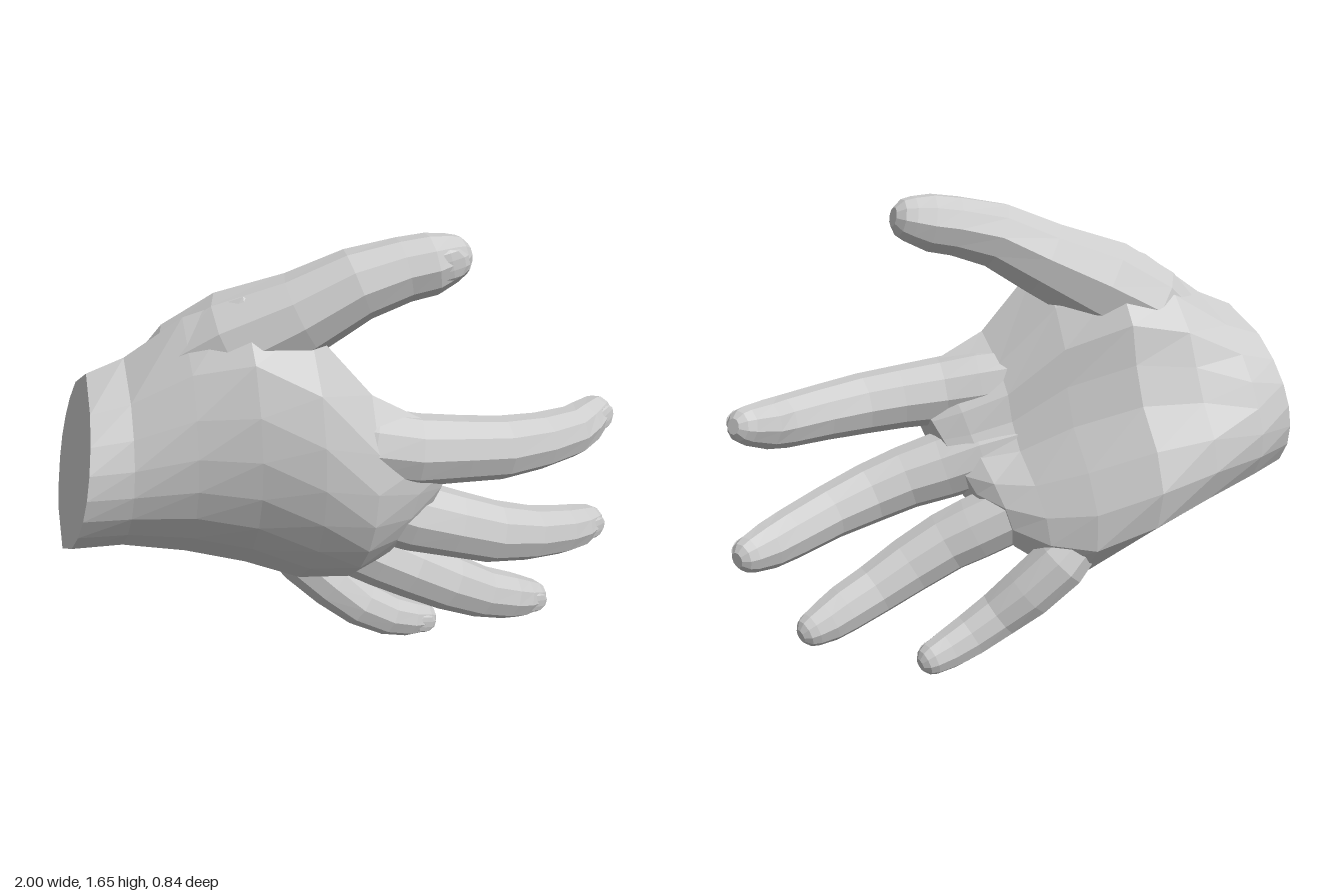
import * as THREE from 'three';

const V = (x, y, z) => new THREE.Vector3(x, y, z);
const skin = new THREE.MeshStandardMaterial({ color: 0xcccccc, flatShading: true });

// Skin a list of equal-length rings and close both ends with a fan.
function loft(name, rings) {
  const n = rings[0].length, pos = [], index = [];
  rings.forEach(r => r.forEach(p => pos.push(p.x, p.y, p.z)));
  for (let i = 0; i < rings.length - 1; i++) {
    for (let j = 0; j < n; j++) {
      const a = i * n + j, b = i * n + (j + 1) % n;
      index.push(a, b, a + n, b, b + n, a + n);
    }
  }
  [0, rings.length - 1].forEach((r, end) => {
    const c = rings[r].reduce((s, p) => s.add(p), V(0, 0, 0)).divideScalar(n);
    const ci = pos.length / 3;
    pos.push(c.x, c.y, c.z);
    for (let j = 0; j < n; j++) {
      const a = r * n + j, b = r * n + (j + 1) % n;
      if (end) index.push(a, b, ci); else index.push(b, a, ci);
    }
  });
  const g = new THREE.BufferGeometry();
  g.setAttribute('position', new THREE.Float32BufferAttribute(pos, 3));
  g.setIndex(index);
  g.computeVertexNormals();
  const mesh = new THREE.Mesh(g, skin);
  mesh.name = name;
  return mesh;
}

// Palm section: thumb-side edge, little-finger edge, then bulges of the
// back, the thumb half and the outer half of the palm, and the hollow.
function palmRing([tx, ty, tz, bx, by, bz, back, inner, outer, hollow]) {
  const T = V(tx, ty, tz), B = V(bx, by, bz), half = 8, ring = [];
  const backward = V(0, bz - tz, ty - by).normalize(), palmward = V(0, 0, -1);
  for (let i = 0; i < half * 2; i++) {
    const t = i < half ? i / half : 2 - i / half;
    const s = Math.max(0, Math.sin(Math.PI * t));
    const p = T.clone().lerp(B, t);
    const dip = s * hollow * Math.exp(-Math.pow((t - 0.45) / 0.2, 2));
    if (i < half) p.addScaledVector(backward, back * Math.pow(s, 0.65));
    else p.addScaledVector(palmward, Math.pow(s, 0.55) * (inner * (1 - t) + outer * t) - dip);
    ring.push(p);
  }
  return ring;
}

// Finger: rings along a path of [x, y, z, radius], with a rounded tip.
function finger(name, path, sides = 10) {
  const group = new THREE.Group();
  group.name = name;
  const pts = path.map(p => V(p[0], p[1], p[2]));
  const last = pts.length - 1;
  const frame = i => {
    const t = pts[Math.min(i + 1, last)].clone().sub(pts[Math.max(i - 1, 0)]).normalize();
    const u = V(0, 0, 1).cross(t).normalize();
    return { t, u, v: t.clone().cross(u) };
  };
  const ring = (c, f, r) => Array.from({ length: sides }, (_, j) => {
    const a = (j + 0.5) / sides * Math.PI * 2;
    return c.clone().addScaledVector(f.u, Math.cos(a) * r).addScaledVector(f.v, Math.sin(a) * r);
  });
  const rings = pts.map((p, i) => ring(p, frame(i), path[i][3]));
  const f = frame(last), r = path[last][3];
  [[0.45, 0.8], [0.75, 0.42]].forEach(([d, k]) =>
    rings.push(ring(pts[last].clone().addScaledVector(f.t, d * r), f, r * k)));
  group.add(loft(name + 'Skin', rings));

  // Nail: a thin shield lying on the back of the last joint
  const nail = new THREE.Mesh(new THREE.SphereGeometry(1, 8, 5), skin);
  nail.name = name + 'Nail';
  nail.scale.set(r * 0.8, r * 0.62, r * 0.15);
  nail.quaternion.setFromRotationMatrix(new THREE.Matrix4().makeBasis(f.t, f.u, f.v));
  nail.position.copy(pts[last]).addScaledVector(f.v, r * 0.95).addScaledVector(f.t, -r * 0.4);
  group.add(nail);
  return group;
}

export function createModel() {
  const hand = new THREE.Group();
  hand.name = 'hand';

  // Wrist, palm and knuckles
  hand.add(loft('palm', [
    [-0.88, 1.23, -0.03, -1.00, 0.59, -0.10, 0.27, 0.28, 0.29, 0],
    [-0.76, 1.28, 0.00, -0.82, 0.57, -0.14, 0.28, 0.27, 0.37, 0.02],
    [-0.58, 1.42, 0.09, -0.60, 0.50, -0.16, 0.30, 0.29, 0.43, 0.08],
    [-0.40, 1.49, 0.17, -0.38, 0.41, -0.20, 0.33, 0.28, 0.40, 0.12],
    [-0.20, 1.39, 0.23, -0.18, 0.33, -0.20, 0.34, 0.19, 0.29, 0.13],
    [0.00, 1.15, 0.27, -0.06, 0.37, -0.15, 0.31, 0.13, 0.19, 0.11],
    [0.18, 1.05, 0.30, 0.02, 0.42, -0.06, 0.21, 0.11, 0.12, 0.06],
    [0.29, 0.98, 0.31, 0.07, 0.48, 0.03, 0.12, 0.07, 0.07, 0.02]
  ].map(palmRing)));

  // Thumb, with its fleshy base running back to the wrist
  hand.add(finger('thumb', [
    [-0.70, 1.14, -0.04, 0.10], [-0.56, 1.23, 0.01, 0.16], [-0.40, 1.32, 0.08, 0.175],
    [-0.20, 1.42, 0.165, 0.14], [-0.03, 1.51, 0.21, 0.12], [0.12, 1.55, 0.23, 0.106],
    [0.21, 1.565, 0.245, 0.102], [0.28, 1.58, 0.245, 0.082]
  ]));

  hand.add(finger('indexFinger', [
    [-0.18, 1.00, 0.16, 0.11], [0.02, 0.96, 0.24, 0.13], [0.16, 0.94, 0.28, 0.124],
    [0.32, 0.93, 0.30, 0.115], [0.46, 0.92, 0.31, 0.11], [0.62, 0.915, 0.285, 0.10],
    [0.77, 0.915, 0.24, 0.092], [0.84, 0.925, 0.205, 0.085], [0.92, 0.945, 0.16, 0.066]
  ]));

  hand.add(finger('middleFinger', [
    [-0.14, 0.78, 0.09, 0.11], [0.04, 0.72, 0.17, 0.13], [0.18, 0.67, 0.22, 0.127],
    [0.32, 0.63, 0.255, 0.118], [0.46, 0.585, 0.27, 0.112], [0.62, 0.545, 0.25, 0.10],
    [0.78, 0.51, 0.20, 0.092], [0.87, 0.495, 0.165, 0.084], [0.945, 0.49, 0.13, 0.066]
  ]));

  hand.add(finger('ringFinger', [
    [-0.16, 0.60, -0.04, 0.10], [0.00, 0.52, 0.03, 0.12], [0.12, 0.46, 0.075, 0.12],
    [0.22, 0.41, 0.11, 0.115], [0.36, 0.335, 0.13, 0.108], [0.50, 0.265, 0.13, 0.097],
    [0.62, 0.22, 0.115, 0.09], [0.69, 0.195, 0.10, 0.08], [0.75, 0.18, 0.085, 0.064]
  ]));

  hand.add(finger('littleFinger', [
    [-0.22, 0.49, -0.18, 0.08], [-0.11, 0.38, -0.17, 0.105], [0.00, 0.27, -0.13, 0.102],
    [0.10, 0.18, -0.09, 0.09], [0.21, 0.115, -0.08, 0.082], [0.30, 0.08, -0.085, 0.073],
    [0.37, 0.062, -0.095, 0.06]
  ]));

  return hand;
}
